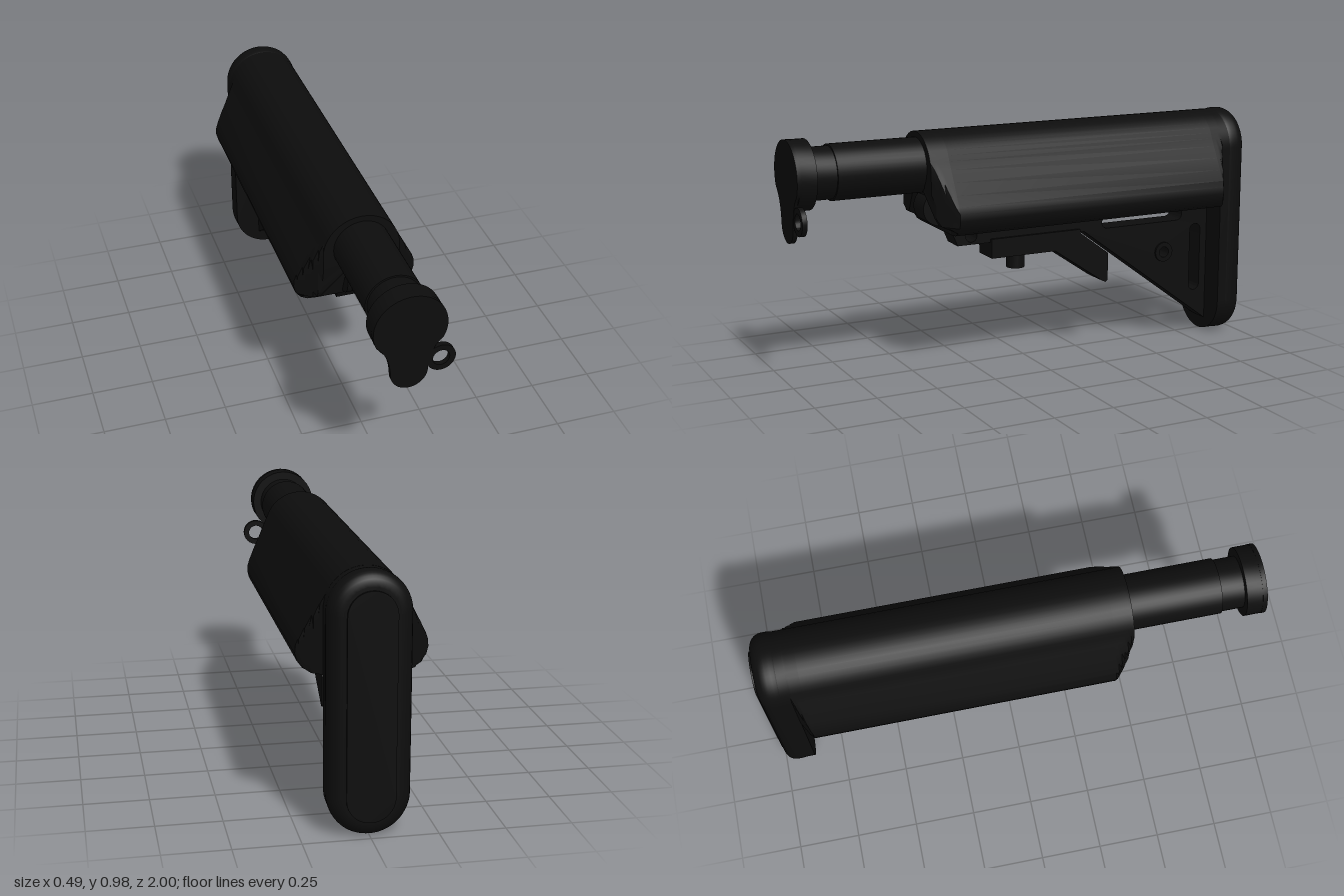
import * as THREE from 'three';
import { toCreasedNormals } from 'three/addons/utils/BufferGeometryUtils.js';

export function createModel() {
  const model = new THREE.Group();
  const black = new THREE.MeshStandardMaterial({ color: 0x0d0d0d });
  black.name = 'matte black';

  const add = (name, geo, crease = 0.6) => {
    const mesh = new THREE.Mesh(toCreasedNormals(geo, crease), black);
    mesh.name = name;
    model.add(mesh);
  };

  // Upright capsule outline, also used for slots
  const capsule = (cx, y0, y1, r, Type = THREE.Shape) => {
    const s = new Type();
    s.absarc(cx, y1 - r, r, 0, Math.PI, false);
    s.absarc(cx, y0 + r, r, Math.PI, Math.PI * 2, false);
    s.closePath();
    return s;
  };
  const circle = (x, y, r, Type = THREE.Path) => {
    const s = new Type();
    s.absarc(x, y, r, 0, Math.PI * 2, false);
    return s;
  };

  // Extrusion along z between two depths
  const slab = (shape, z0, z1) =>
    new THREE.ExtrudeGeometry(shape, { depth: z1 - z0, bevelEnabled: false, curveSegments: 16 }).translate(0, 0, z0);

  // Side profile given as (z, y), extruded symmetrically across x
  const side = (shape, halfWidth) => slab(shape, -halfWidth, halfWidth).rotateY(-Math.PI / 2);
  const polygon = (pts) => new THREE.Shape(pts.map(([x, y]) => new THREE.Vector2(x, y)));

  // Cylinder along z, on the tube axis
  const rod = (name, r, z0, z1) =>
    add(name, new THREE.CylinderGeometry(r, r, z1 - z0, 40).rotateX(Math.PI / 2).translate(0, 0.84, (z0 + z1) / 2));

  // Body: bell cross-section, wings chamfered at both ends, front underside rounded
  const half = [[0.15, 0.58], [0.19, 0.583], [0.218, 0.598], [0.236, 0.622], [0.243, 0.65], [0.241, 0.678], [0.232, 0.703],
    [0.21, 0.745], [0.185, 0.792], [0.16, 0.838]];
  for (let i = 2; i < 10; i++) {
    const a = (i * Math.PI) / 20;
    half.push([0.15 * Math.cos(a), 0.823 + 0.15 * Math.sin(a)]);
  }
  const section = [...half, [0, 0.973], ...half.slice().reverse().map(([x, y]) => [-x, y])];
  const frontLimit = (y) => {
    if (y > 0.735) return 0.47;
    const d = Math.min(1, Math.max(0, (0.67 - y) / 0.07));
    return 0.39 + 0.07 * Math.sqrt(1 - d * d);
  };
  const limits = [0.15, 0.166, 0.182, 0.198, 0.214, 0.23, 0.244];
  const rings = [
    ...limits.map((w) => [-0.87 + ((w - 0.15) / 0.094) * 0.05, w]),
    ...limits.slice().reverse().map((w) => [0.47 - ((w - 0.15) / 0.094) * 0.08, w]),
  ];
  const n = section.length;
  const pos = [];
  const index = [];
  rings.forEach(([z, w], k) => {
    section.forEach(([x, y]) => pos.push(Math.max(-w, Math.min(w, x)), y, Math.min(z, frontLimit(y))));
    if (k === 0) return;
    for (let i = 0; i < n; i++) {
      const j = (i + 1) % n;
      const a = (k - 1) * n;
      const b = k * n;
      index.push(a + i, a + j, b + j, a + i, b + j, b + i);
    }
  });
  const last = (rings.length - 1) * n;
  const mid = pos.length / 3;
  pos.push(0, 0.8, -0.87, 0, 0.8, 0.47);
  for (let i = 0; i < n; i++) {
    const j = (i + 1) % n;
    index.push(mid, j, i, mid + 1, last + i, last + j);
  }
  const bodyGeo = new THREE.BufferGeometry();
  bodyGeo.setAttribute('position', new THREE.Float32BufferAttribute(pos, 3));
  bodyGeo.setIndex(index);
  add('body', bodyGeo, 0.45);

  // Rounded nose under the tube
  add('bodyNose', new THREE.CylinderGeometry(0.07, 0.07, 0.1, 32).rotateZ(Math.PI / 2).translate(0, 0.667, 0.392));

  // Tube with stepped end and locking ring
  rod('tube', 0.11, 0.4, 0.83);
  rod('tubeNeck', 0.103, 0.82, 0.93);
  rod('lockingRing', 0.137, 0.92, 0.988);

  // End plate with lower lobe and side loop
  const plate = new THREE.Shape();
  plate.absarc(0, 0.84, 0.138, -0.45, Math.PI + 0.45, false);
  plate.quadraticCurveTo(-0.075, 0.74, -0.07, 0.65);
  plate.absarc(0, 0.65, 0.07, Math.PI, Math.PI * 2, false);
  plate.quadraticCurveTo(0.075, 0.74, 0.138 * Math.cos(0.45), 0.84 - 0.138 * Math.sin(0.45));
  add('endPlate', slab(plate, 0.982, 1));
  const loop = circle(0.12, 0.685, 0.055, THREE.Shape);
  loop.holes.push(circle(0.12, 0.685, 0.032));
  add('endPlateLoop', slab(loop, 0.978, 0.998));

  // Lower frame with slots and pin holes
  const frame = polygon([[0.36, 0.61], [0.315, 0.505], [-0.262, 0.505], [-0.87, 0.055], [-0.9, 0.055], [-0.9, 0.61]]);
  const slot = new THREE.Path();
  slot.absarc(-0.372, 0.535, 0.026, -Math.PI / 2, Math.PI / 2, false);
  slot.absarc(-0.714, 0.535, 0.026, Math.PI / 2, Math.PI * 1.5, false);
  slot.closePath();
  frame.holes.push(slot, capsule(-0.81, 0.19, 0.485, 0.026, THREE.Path), circle(-0.65, 0.377, 0.023), circle(0.255, 0.54, 0.025));
  add('lowerFrame', side(frame, 0.048));

  // Raised collar around the rear pin hole
  const collar = circle(-0.65, 0.377, 0.042, THREE.Shape);
  collar.holes.push(circle(-0.65, 0.377, 0.023));
  add('pinCollar', side(collar, 0.056));

  // Release lever and its pin
  const lever = polygon([[0.17, 0.52], [0.17, 0.44], [-0.12, 0.44], [-0.345, 0.287], [-0.36, 0.28], [-0.37, 0.29],
    [-0.37, 0.405], [-0.236, 0.505], [-0.236, 0.52]]);
  add('releaseLever', side(lever, 0.06));
  add('leverPin', new THREE.CylinderGeometry(0.038, 0.038, 0.09, 24).translate(0, 0.425, 0.035));

  // Butt plate, rounded pad and raised rear panel
  add('buttPlate', slab(capsule(0, 0.002, 0.972, 0.15), -0.935, -0.868));
  const padGeo = new THREE.ExtrudeGeometry(capsule(0, 0.05, 0.926, 0.102), {
    depth: 0.02, bevelThickness: 0.05, bevelSize: 0.05, bevelSegments: 6, curveSegments: 16,
  }).translate(0, 0, -0.942);
  add('buttPad', padGeo);
  add('buttPadPanel', slab(capsule(0, 0.06, 0.912, 0.09), -1, -0.98));

  return model;
}
